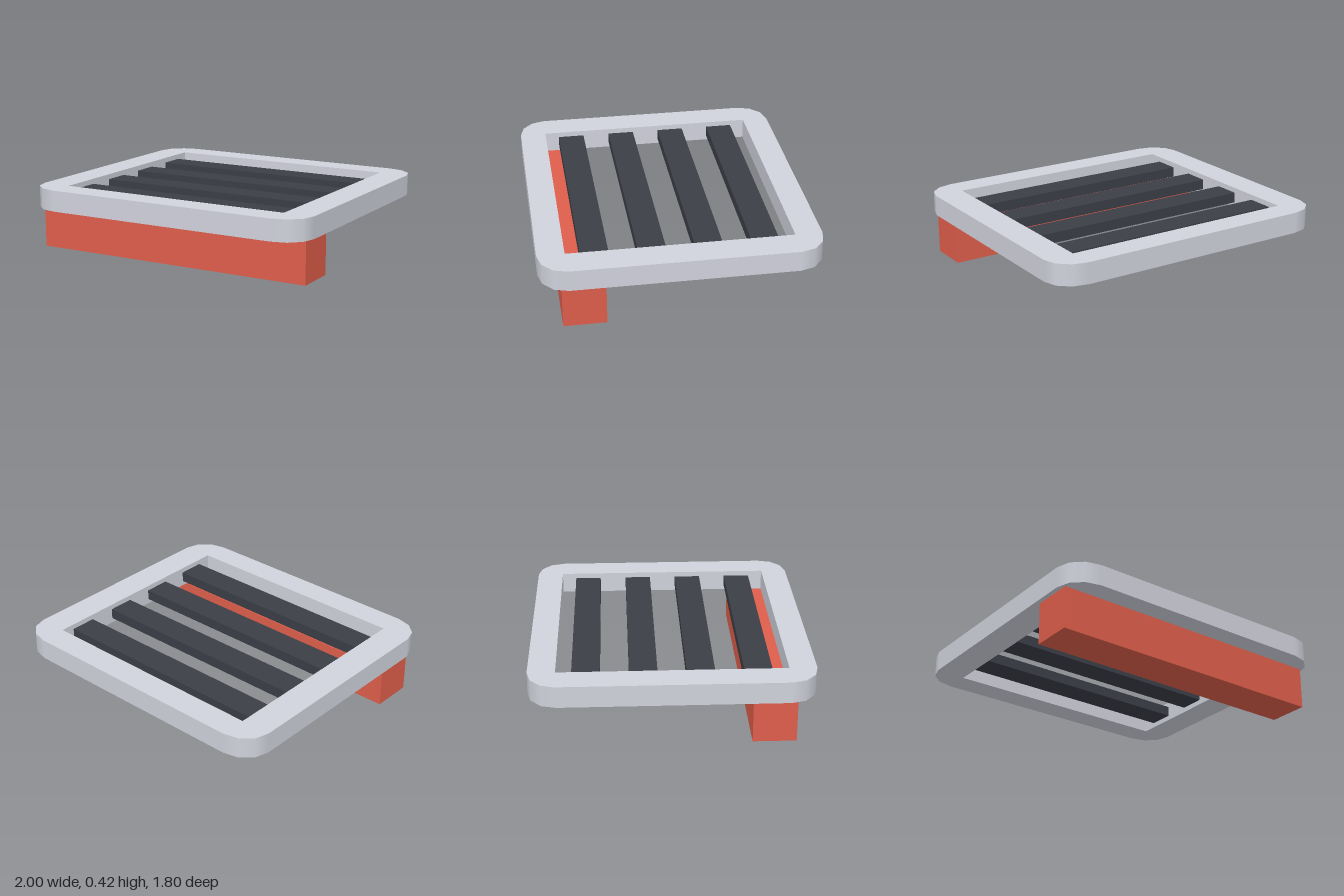
import * as THREE from 'three';

const FRAME = { x: 1, z: 0.9, bottom: 0.28, height: 0.14, rx: 0.2, rz: 0.18 };
const HOLE = { x: 0.8, z: 0.725 };

function box(name, w, h, d, x, y, z, material) {
  const mesh = new THREE.Mesh(new THREE.BoxGeometry(w, h, d), material);
  mesh.name = name;
  mesh.position.set(x, y, z);
  return mesh;
}

function frameGeometry() {
  const cx = FRAME.x - FRAME.rx, cz = FRAME.z - FRAME.rz;
  // Outline: four rounded corners of three segments each
  const points = [];
  [[1, 1], [-1, 1], [-1, -1], [1, -1]].forEach(([sx, sz], corner) => {
    for (let i = 0; i <= 3; i++) {
      const a = (corner + i / 3) * Math.PI / 2;
      points.push(new THREE.Vector2(sx * cx + FRAME.rx * Math.cos(a), sz * cz + FRAME.rz * Math.sin(a)));
    }
  });
  const shape = new THREE.Shape(points);
  shape.holes.push(new THREE.Path([
    [-HOLE.x, -HOLE.z], [-HOLE.x, HOLE.z], [HOLE.x, HOLE.z], [HOLE.x, -HOLE.z],
  ].map(([x, y]) => new THREE.Vector2(x, y))));
  const geo = new THREE.ExtrudeGeometry(shape, { depth: FRAME.height, bevelEnabled: false });
  geo.rotateX(-Math.PI / 2);

  // Smooth the outer corners while the straight sides stay flat
  const p = geo.attributes.position, n = geo.attributes.normal;
  for (let i = 0; i < p.count; i++) {
    const x = p.getX(i), z = p.getZ(i);
    const dx = Math.abs(x) - cx, dz = Math.abs(z) - cz;
    const outer = Math.abs(x) > HOLE.x + 0.01 || Math.abs(z) > HOLE.z + 0.01;
    if (Math.abs(n.getY(i)) > 0.5 || !outer || dx < -1e-4 || dz < -1e-4) continue;
    const v = new THREE.Vector3(
      Math.sign(x) * dx / FRAME.rx ** 2, 0, Math.sign(z) * dz / FRAME.rz ** 2).normalize();
    n.setXYZ(i, v.x, v.y, v.z);
  }
  return geo;
}

export function createModel() {
  const model = new THREE.Group();
  model.name = 'slattedFrame';
  const pale = new THREE.MeshStandardMaterial({ color: 0xd0d2dc });
  const dark = new THREE.MeshStandardMaterial({ color: 0x3b3e46 });
  const red = new THREE.MeshStandardMaterial({ color: 0xde5e4b });

  // Rounded frame with a rectangular opening
  const frame = new THREE.Mesh(frameGeometry(), pale);
  frame.name = 'frame';
  frame.position.y = FRAME.bottom;
  model.add(frame);

  // Four slats across the opening
  const slats = new THREE.Group();
  slats.name = 'slats';
  for (let i = 0; i < 4; i++) {
    slats.add(box('slat', 2 * HOLE.x, 0.07, 0.178, 0, 0.35, -0.54 + i * 0.36, dark));
  }
  model.add(slats);

  // Block under the front edge
  model.add(box('frontBlock', 1.94, 0.28, 0.275, 0, 0.14, 0.6275, red));
  return model;
}
